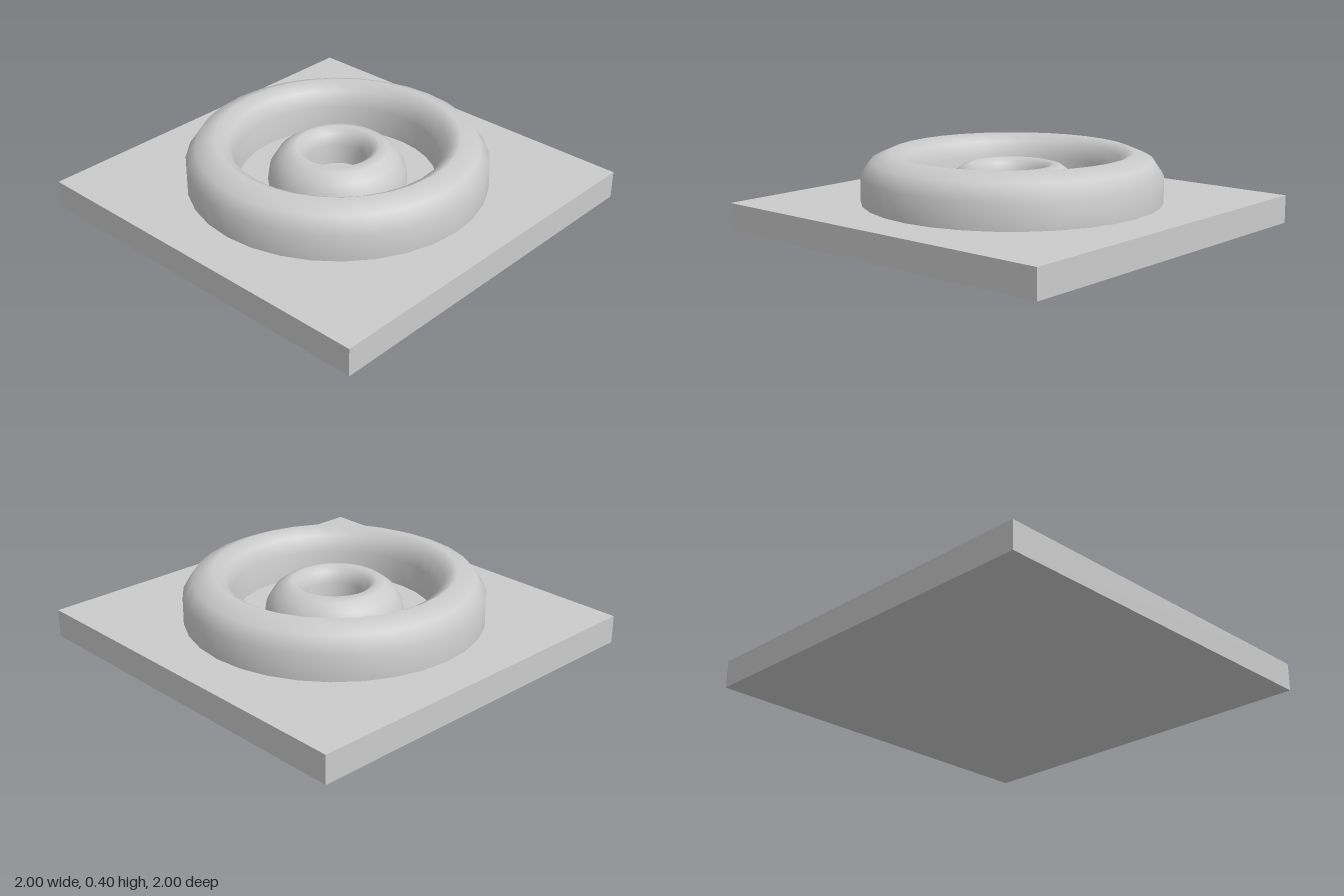
import * as THREE from 'three';

const SEGMENTS = 32;
const PLATE_HEIGHT = 0.145;

// Revolve a profile given from the outer foot over the crest to the inner foot
function makeRing(name, profile, material) {
  const points = profile.map(([r, y]) => new THREE.Vector2(r, y));
  const ring = new THREE.Mesh(new THREE.LatheGeometry(points, SEGMENTS), material);
  ring.name = name;
  return ring;
}

export function createModel() {
  const group = new THREE.Group();
  group.name = 'ringedPlate';
  const material = new THREE.MeshStandardMaterial({ color: 0xcccccc });

  // Square base plate
  const plate = new THREE.Mesh(new THREE.BoxGeometry(2, PLATE_HEIGHT, 2), material);
  plate.name = 'basePlate';
  plate.position.y = PLATE_HEIGHT / 2;
  group.add(plate);

  // Large raised ring with an upright outer wall
  group.add(makeRing('outerRing', [
    [0.765, PLATE_HEIGHT], [0.765, 0.28], [0.713, 0.356], [0.615, 0.398],
    [0.55, 0.36], [0.515, 0.28], [0.505, PLATE_HEIGHT],
  ], material));

  // Small domed ring around the open centre
  group.add(makeRing('innerRing', [
    [0.355, PLATE_HEIGHT], [0.345, 0.215], [0.305, 0.28], [0.255, 0.318], [0.21, 0.33],
    [0.17, 0.305], [0.15, 0.25], [0.145, PLATE_HEIGHT],
  ], material));

  return group;
}
